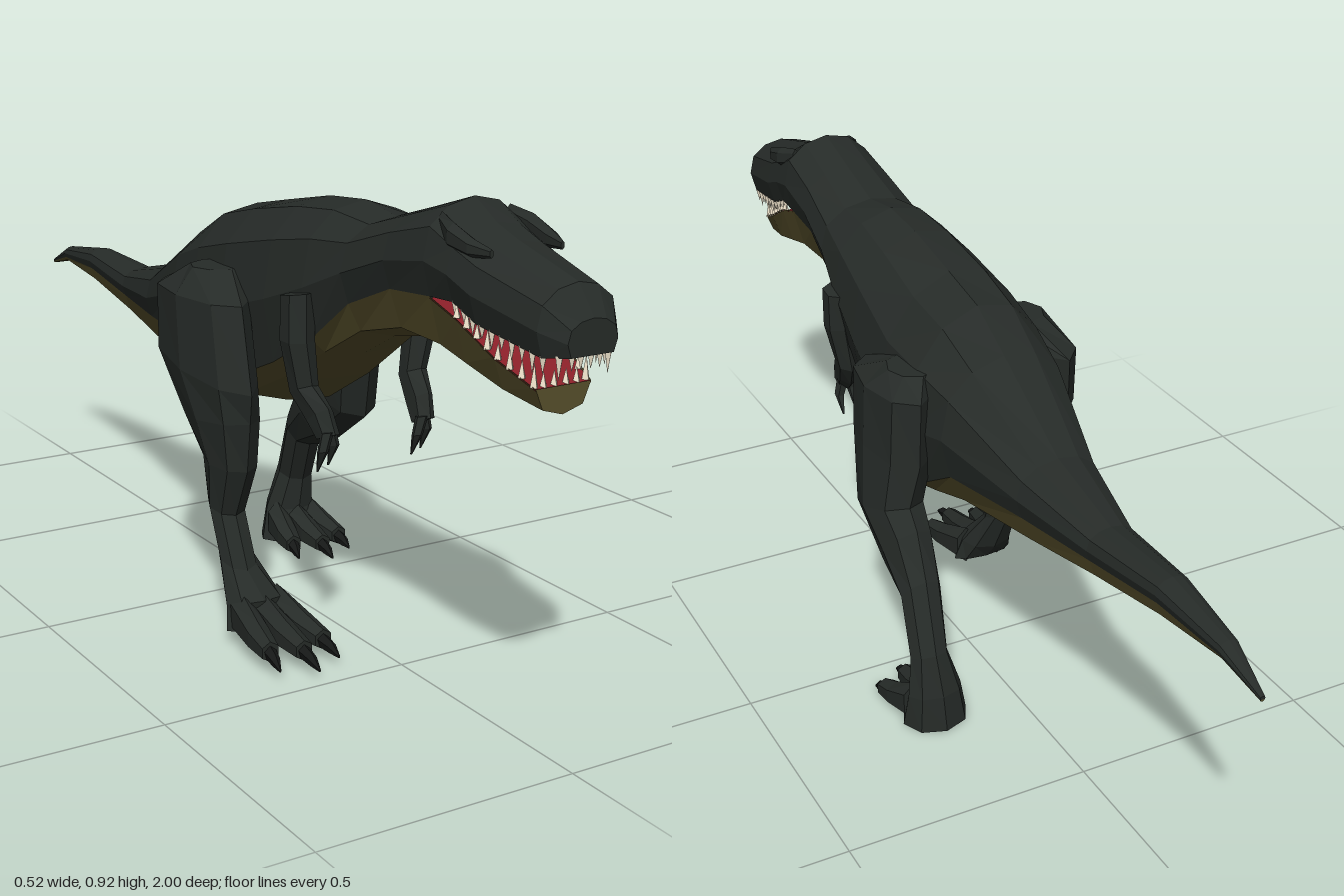
import * as THREE from 'three';

const mat = (color) => new THREE.MeshStandardMaterial({ color, flatShading: true, side: THREE.DoubleSide, roughness: 0.9 });
const lerp = THREE.MathUtils.lerp;

// Skin over a row of cross-sections, with both ends capped
function loft(rings, closed) {
  const n = rings[0].length, last = (rings.length - 1) * n, index = [];
  for (let i = 0; i < rings.length - 1; i++) {
    for (let j = 0; j < (closed ? n : n - 1); j++) {
      const a = i * n + j, b = i * n + (j + 1) % n;
      index.push(a, a + n, b + n, a, b + n, b);
    }
  }
  for (let j = 1; j < n - 1; j++) index.push(0, j, j + 1, last, last + j + 1, last + j);
  const g = new THREE.BufferGeometry();
  g.setAttribute('position', new THREE.Float32BufferAttribute(rings.flat(2), 3));
  g.setIndex(index);
  const flat = g.toNonIndexed();
  flat.computeVertexNormals();
  return flat;
}

// Limb section: [x, halfWidth, zFront, yFront, zBack, yBack]
function limb(rows, sides = 8) {
  return loft(rows.map(([x, w, zf, yf, zb, yb]) =>
    Array.from({ length: sides }, (_, j) => {
      const t = (j / sides) * Math.PI * 2, c = Math.cos(t) / 2;
      return [x + w * Math.sin(t), (yf + yb) / 2 + (yf - yb) * c, (zf + zb) / 2 + (zf - zb) * c];
    })), true);
}

// Centre line drifts a little, and the trunk rolls with the stride
const place = (x, y, z) => {
  const roll = 0.18 * Math.max(0, 1 - Math.abs(z - 0.1) / 0.4);
  return [x - 0.012 + 0.012 * z, y - x * roll, z];
};

// Trunk sections from snout to tail: [z, halfWidth, top, seam, bottom]
const BODY = [
  [1.0, 0.05, 0.775, 0.715], [0.96, 0.08, 0.825, 0.71], [0.81, 0.097, 0.865, 0.735], [0.75, 0.1, 0.885, 0.76],
  [0.69, 0.103, 0.92, 0.758, 0.645], [0.58, 0.108, 0.885, 0.75, 0.655], [0.465, 0.118, 0.85, 0.70, 0.63],
  [0.365, 0.135, 0.865, 0.61, 0.575], [0.25, 0.147, 0.855, 0.535, 0.5], [0.1, 0.157, 0.825, 0.46, 0.42],
  [-0.02, 0.152, 0.80, 0.45, 0.41], [-0.13, 0.137, 0.74, 0.51, 0.425], [-0.34, 0.088, 0.62, 0.51, 0.44],
  [-0.53, 0.05, 0.575, 0.515, 0.47], [-0.73, 0.035, 0.585, 0.54, 0.505], [-0.9, 0.02, 0.56, 0.535, 0.525],
  [-1.0, 0.005, 0.512, 0.506, 0.502],
];
// Lower jaw sections, same columns
const JAW = [
  [0.935, 0.066, 0, 0.652, 0.603], [0.85, 0.088, 0, 0.688, 0.613], [0.76, 0.1, 0, 0.735, 0.63],
];
const SEAM = 0.85;

const mirrorArc = (half) => [...half, ...half.slice(0, -1).reverse().map(([x, y]) => [-x, y])];

const backRing = ([z, w, top, seam]) => {
  const h = top - seam;
  return mirrorArc([[w * SEAM, seam], [w, top - 0.62 * h], [w * 0.88, top - 0.27 * h], [w * 0.5, top - 0.07 * h], [0, top]])
    .map(([x, y]) => place(x, y, z));
};
const bellyRing = ([z, w, , seam, bottom]) =>
  mirrorArc([[-w * SEAM, seam], [-w * 0.62, lerp(bottom, seam, 0.25)], [0, bottom]])
    .map(([x, y]) => place(x, y, z));
const lipRing = (side, dy) => ([z, w, , seam]) => [side, -side].map((s) => place(s * w * SEAM, seam + dy, z));

// Legs, hip to sole
const LEFT_LEG = [
  [0.12, 0.05, 0.06, 0.69, -0.05, 0.69], [0.145, 0.062, 0.17, 0.645, -0.09, 0.65], [0.15, 0.065, 0.16, 0.53, -0.09, 0.51],
  [0.168, 0.06, 0.11, 0.36, -0.08, 0.42], [0.172, 0.052, -0.02, 0.27, -0.12, 0.39], [0.18, 0.043, -0.125, 0.235, -0.175, 0.305],
  [0.19, 0.04, -0.17, 0.14, -0.238, 0.17], [0.184, 0.058, -0.175, 0.07, -0.258, 0.08], [0.18, 0.07, -0.15, 0.005, -0.265, 0.0],
];
const RIGHT_LEG = [
  [-0.16, 0.055, 0.14, 0.71, 0.03, 0.71], [-0.195, 0.058, 0.24, 0.66, -0.07, 0.66], [-0.2, 0.06, 0.285, 0.5, -0.06, 0.54],
  [-0.195, 0.056, 0.27, 0.44, 0.05, 0.42], [-0.19, 0.046, 0.25, 0.34, 0.115, 0.35], [-0.19, 0.037, 0.205, 0.24, 0.13, 0.265],
  [-0.187, 0.037, 0.245, 0.14, 0.165, 0.17], [-0.175, 0.06, 0.29, 0.09, 0.205, 0.07], [-0.17, 0.07, 0.28, 0.03, 0.235, 0.03],
];

export function createModel() {
  const model = new THREE.Group();
  const hide = mat(0x262b28), olive = mat(0x574f2b), flesh = mat(0x8a1f28), ivory = mat(0xf0e4cc), horn = mat(0x161817);
  const add = (name, geometry, material, parent = model) => {
    const m = new THREE.Mesh(geometry, material);
    m.name = name;
    parent.add(m);
    return m;
  };
  const group = (name) => {
    const g = new THREE.Group();
    g.name = name;
    model.add(g);
    return g;
  };

  // Trunk, jaw and mouth lining
  const bellyRows = [...JAW, ...BODY.slice(4)];
  const upperLip = BODY.slice(0, 5), lowerLip = [...JAW, BODY[4]];
  add('back', loft(BODY.map(backRing)), hide);
  add('belly', loft(bellyRows.map(bellyRing)), olive);
  add('palate', loft(upperLip.map(lipRing(-1, 0.003))), flesh);
  add('mouthFloor', loft(lowerLip.map(lipRing(1, -0.003))), flesh);

  // Brow ridges
  for (const s of [-1, 1]) {
    add('brow', limb([
      [s * 0.07, 0.008, 0.69, 0.9, 0.69, 0.86], [s * 0.082, 0.016, 0.74, 0.89, 0.74, 0.845],
      [s * 0.08, 0.014, 0.79, 0.872, 0.79, 0.84], [s * 0.072, 0.004, 0.83, 0.86, 0.83, 0.845],
    ].map((r) => r).sort((a, b) => a[2] - b[2]), 6), hide);
  }

  // Teeth along both lips
  const teeth = group('teeth');
  const lipAt = (rows, z) => {
    const i = Math.max(0, rows.findIndex((r, k) => k < rows.length - 1 && z <= r[0] && z >= rows[k + 1][0]));
    const a = rows[i], b = rows[i + 1], t = (a[0] - z) / (a[0] - b[0]);
    return [lerp(a[1], b[1], t) * SEAM, lerp(a[3], b[3], t)];
  };
  const tooth = (x, y, z, dir, len) => {
    const t = add('tooth', new THREE.ConeGeometry(0.008, len, 4), ivory, teeth);
    t.position.set(...place(x, y + dir * len * 0.4, z));
    if (dir < 0) t.rotation.x = Math.PI;
  };
  const lipTeeth = (rows, z0, z1, count, dir) => {
    for (let i = 0; i < count; i++) {
      const z = lerp(z0, z1, i / (count - 1)), [w, y] = lipAt(rows, z);
      const len = (i % 2 ? 0.032 : 0.042) * lerp(1, 0.7, i / (count - 1));
      for (const s of [-1, 1]) tooth(s * (w - 0.006), y, z, dir, len);
    }
  };
  lipTeeth(upperLip, 0.98, 0.75, 11, -1);
  lipTeeth(lowerLip, 0.925, 0.755, 8, 1);
  for (const x of [-0.028, -0.01, 0.01, 0.028]) {
    tooth(x, 0.715, 0.985, -1, 0.03);
    tooth(x * 1.2, 0.652, 0.925, 1, 0.028);
  }

  // Legs with three clawed toes each
  const leg = (name, rows, footX, baseY, heelZ, tipZ) => {
    const g = group(name);
    add('leg', limb(rows), hide, g);
    for (const k of [-1, 0, 1]) {
      const end = tipZ - (k ? 0.035 : 0), at = (t) => lerp(heelZ, end, t);
      const x = (t) => footX + k * lerp(0.04, 0.064, t);
      const row = (t, w, top, low) => [x(t), w, at(t), baseY + top, at(t), baseY + low];
      add('toe', limb([row(0, 0.026, 0.09, 0), row(0.45, 0.026, 0.058, 0), row(0.75, 0.02, 0.042, 0.002)], 6), hide, g);
      add('claw', limb([row(0.72, 0.014, 0.036, 0.006), row(0.88, 0.01, 0.026, 0.002), row(1, 0.002, 0.006, 0)], 5), horn, g);
    }
  };
  leg('leftLeg', LEFT_LEG, 0.182, 0, -0.2, -0.03);
  leg('rightLeg', RIGHT_LEG, -0.168, 0.015, 0.255, 0.48);

  // Short arms with two claws each
  const arm = (name, xs, clawXs) => {
    const g = group(name);
    const rows = [
      [0.03, 0.395, 0.71, 0.33, 0.7], [0.032, 0.4, 0.62, 0.335, 0.62], [0.026, 0.4, 0.54, 0.345, 0.515],
      [0.022, 0.44, 0.505, 0.38, 0.465], [0.02, 0.458, 0.46, 0.41, 0.44],
    ];
    add('arm', limb(rows.map((r, i) => [xs[i], ...r]), 6), hide, g);
    clawXs.forEach((x, i) => {
      const z = 0.445 - i * 0.025, root = lerp(xs[4], x, 0.5);
      add('finger', limb([
        [root, 0.013, z + 0.013, 0.465, z - 0.013, 0.46], [x, 0.011, z + 0.012, 0.43, z - 0.01, 0.425],
        [x, 0.002, z - 0.015, 0.385, z - 0.019, 0.385],
      ], 5), hide, g);
    });
  };
  arm('leftArm', [0.122, 0.118, 0.1, 0.09, 0.083], [0.062, 0.1]);
  arm('rightArm', [-0.15, -0.152, -0.14, -0.13, -0.126], [-0.145, -0.106]);

  return model;
}
